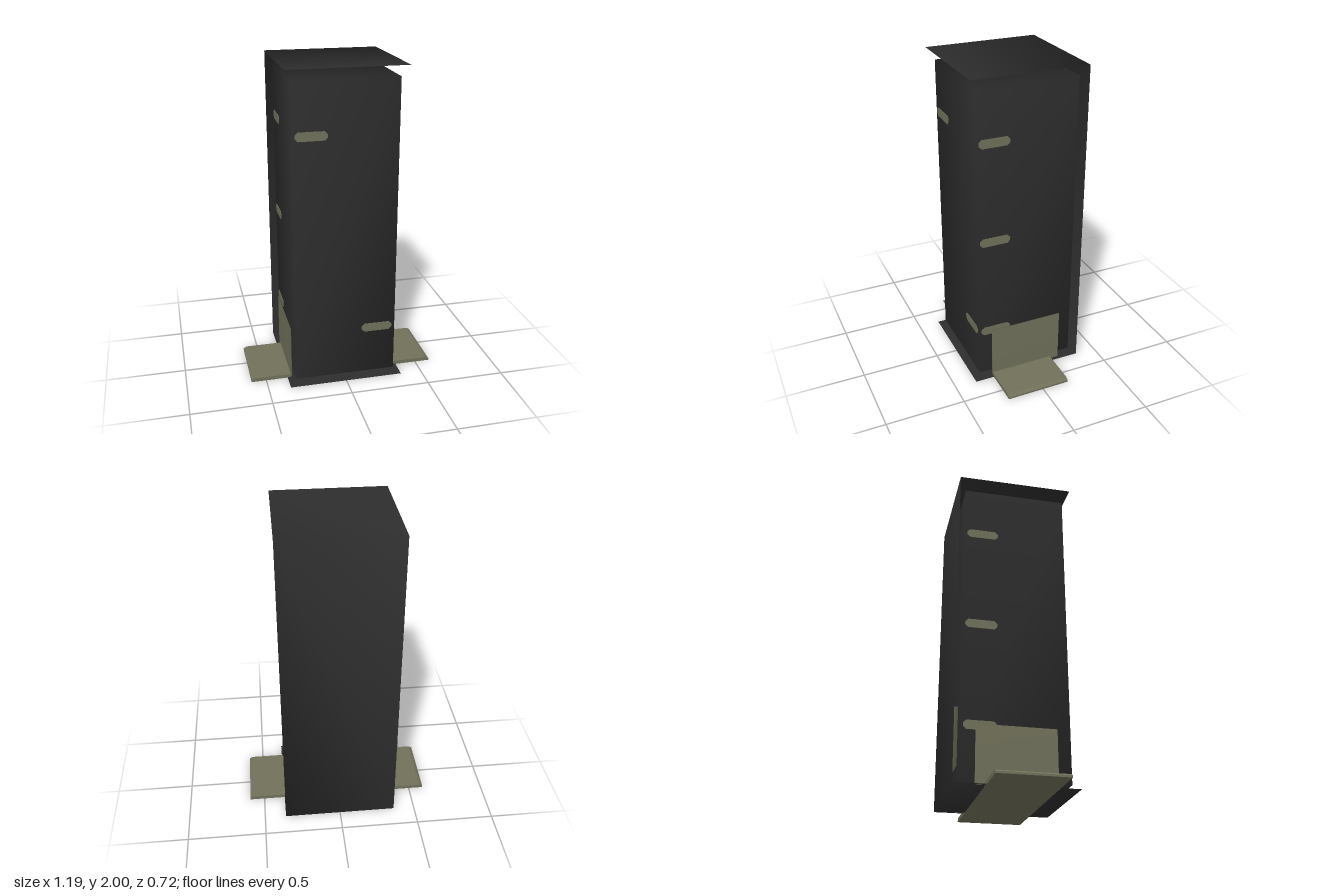
import * as THREE from 'three';
import { mergeVertices } from 'three/addons/utils/BufferGeometryUtils.js';

// Shares corner vertices so shading runs softly across the faces
function soften(geometry) {
  geometry.deleteAttribute('normal');
  geometry.deleteAttribute('uv');
  const merged = mergeVertices(geometry);
  merged.computeVertexNormals();
  return merged;
}

export function createModel() {
  const group = new THREE.Group();
  const black = new THREE.MeshStandardMaterial({ color: 0x2d2d2d, side: THREE.DoubleSide });
  black.name = 'charcoal black';
  const olive = new THREE.MeshStandardMaterial({ color: 0x70705a, side: THREE.DoubleSide });
  olive.name = 'olive grey';

  const add = (name, geometry, material, x = 0, y = 0, z = 0, turn = 0) => {
    const mesh = new THREE.Mesh(geometry, material);
    mesh.name = name;
    mesh.position.set(x, y, z);
    mesh.rotation.y = turn;
    group.add(mesh);
    return mesh;
  };
  const box = (w, h, d) => soften(new THREE.BoxGeometry(w, h, d));

  // Main column
  add('column', box(0.64, 1.895, 0.64), black, 0, 0.9825, 0);

  // Folded sheet: top, back and bottom in one C-shaped strip
  const R = 0.362, low = 0.004, high = 2;
  const profile = [[high, R], [high, -R], [low, -R], [low, R]];
  const points = profile.flatMap(([y, z]) => [-R, y, z, R, y, z]);
  const shell = new THREE.BufferGeometry();
  shell.setAttribute('position', new THREE.Float32BufferAttribute(points, 3));
  const faces = [];
  for (let i = 0; i < 6; i += 2) faces.push(i, i + 1, i + 2, i + 1, i + 3, i + 2);
  shell.setIndex(faces);
  shell.computeVertexNormals();
  add('wrapSheet', shell, black);

  // Chamfered marker slots, on the front and both sides
  const w = 0.0975, h = 0.0275, c = 0.018;
  const slotShape = new THREE.Shape([
    [-w + c, -h], [w - c, -h], [w, -h + c], [w, h - c],
    [w - c, h], [-w + c, h], [-w, h - c], [-w, -h + c],
  ].map(([x, y]) => new THREE.Vector2(x, y)));
  const slot = new THREE.ExtrudeGeometry(slotShape, { depth: 0.003, bevelEnabled: false });
  add('frontSlot', slot, olive, -0.207, 1.61, 0.32);
  add('frontSlot', slot, olive, 0.203, 0.347, 0.32);
  for (const s of [1, -1]) {
    for (const y of [1.61, 0.98, 0.347]) {
      add('sideSlot', slot, olive, s * 0.32, y, s * 0.207, s * Math.PI / 2);
    }
    // Upright bracket plates
    add('sidePlate', box(0.004, 0.347, 0.474), olive, s * 0.335, 0.1765, 0.002);
  }

  // Plate behind the column
  add('backPlate', box(0.474, 0.347, 0.03), olive, 0, 0.305, -0.336);

  // Base plate with two raised, chamfered feet
  const half = [[0.595, 0], [0.595, 0.012], [0.575, 0.024], [0.34, 0.024], [0.34, 0.002]];
  const outline = [...half, ...half.map(([x, y]) => [-x, y]).reverse()];
  const baseShape = new THREE.Shape(outline.map(([x, y]) => new THREE.Vector2(x, y)));
  const base = new THREE.ExtrudeGeometry(baseShape, { depth: 0.413, bevelEnabled: false });
  add('basePlate', base, olive, 0, 0, -0.175);

  return group;
}
